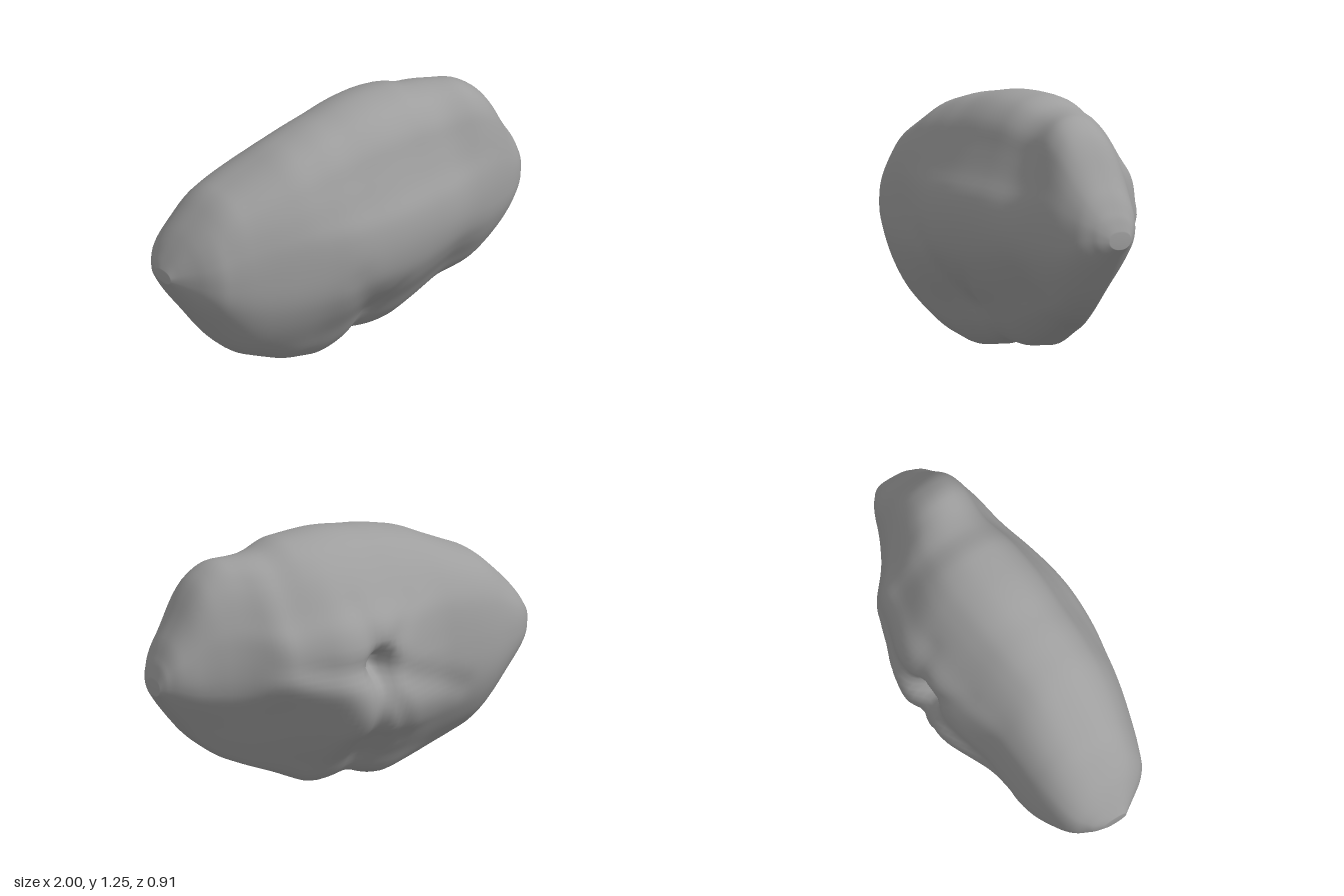
import * as THREE from 'three';

// Stations along the boulder: x, top y, bottom y, back z, front z
const STATIONS = [
  [-1, .67, .61, -.05, .07], [-.97, .72, .56, -.14, .11], [-.92, .8, .48, -.19, .18],
  [-.86, .87, .4, -.225, .26], [-.74, .99, .23, -.265, .31], [-.66, 1.025, .155, -.28, .335],
  [-.52, 1.09, .095, -.295, .375], [-.4, 1.15, .045, -.31, .405], [-.2, 1.205, 0, -.4, .45],
  [-.1, 1.22, .015, -.435, .46], [0, 1.24, .06, -.45, .46], [.1, 1.25, .045, -.46, .455],
  [.22, 1.25, .04, -.465, .44], [.34, 1.245, .095, -.425, .415], [.4, 1.212, .125, -.41, .4],
  [.5, 1.2, .165, -.39, .37], [.58, 1.195, .195, -.29, .35], [.66, 1.19, .23, -.215, .335],
  [.78, 1.1, .325, -.15, .3], [.84, .98, .395, -.13, .275], [.9, .88, .47, -.11, .24],
  [.96, .8, .55, -.07, .2], [1, .68, .6, -.02, .1],
];
// Cross-section outline, from the crest over the front, underside and back
const PROFILE = [
  [.08, 1], [.4, .95], [.62, .8], [.73, .62], [.84, .42], [.95, .25], [1, .02], [.96, -.2],
  [.83, -.4], [.62, -.63], [.43, -.85], [.22, -.98], [0, -1], [-.15, -1], [-.3, -.94], [-.48, -.76],
  [-.7, -.58], [-.87, -.45], [-.98, -.28], [-1, -.05], [-.94, .15], [-.89, .28], [-.82, .42],
  [-.67, .57], [-.52, .72], [-.4, .82], [-.2, .94],
];
// Folds: x1, y1, x2, y2, width, depth
const BACK_FOLDS = [
  [.01, .68, .01, .68, .1, .035], [.01, .68, .02, .07, .055, .05], [.01, .68, .5, .74, .06, .03],
  [.01, .68, -.5, .45, .06, .035], [.01, .68, -.18, .25, .045, .025], [.01, .68, .1, .98, .05, .02],
  [.01, .68, -.2, .92, .05, .015],
];
const FRONT_FOLDS = [
  [.01, .04, .02, .2, .05, .03], [.02, .2, -.16, .52, .07, .02], [.03, .24, .12, .38, .04, .015],
];

const { lerp, clamp, smoothstep } = THREE.MathUtils;

// Linear lookup of a station
function stationAt(x) {
  const i = Math.max(1, STATIONS.findIndex((s) => s[0] >= x - 1e-9));
  const a = STATIONS[i - 1], b = STATIONS[i];
  const t = (x - a[0]) / (b[0] - a[0]);
  return a.map((v, k) => lerp(v, b[k], t));
}

// Station averaged with its surroundings, so the skin has no bands
function softStation(x) {
  const r = Math.min(.04, 1 - Math.abs(x));
  const near = [-1, -.5, 0, .5, 1].map((o) => stationAt(clamp(x + o * r, -1, 1)));
  return near[0].map((_, k) => near.reduce((sum, s) => sum + s[k] / near.length, 0));
}

// Total inward depth of the folds at a point
function foldDepth(folds, x, y) {
  let sum = 0;
  for (const [x1, y1, x2, y2, w, depth] of folds) {
    const dx = x2 - x1, dy = y2 - y1, len = dx * dx + dy * dy;
    const t = len ? clamp(((x - x1) * dx + (y - y1) * dy) / len, 0, 1) : 0;
    const d = Math.hypot(x - x1 - t * dx, y - y1 - t * dy);
    sum += depth * (1 - .6 * t) * Math.exp(-d * d / (w * w));
  }
  return sum;
}

// Maximum of two values with a rounded transition
const softMax = (a, b, r) => (a + b + Math.sqrt((a - b) ** 2 + r * r)) / 2;

function boulderGeometry(rings = 100, sides = 108) {
  const outline = new THREE.CatmullRomCurve3(
    PROFILE.map(([z, v]) => new THREE.Vector3(0, v, z)), true).getSpacedPoints(sides);
  const pos = [], index = [];
  for (let i = 0; i <= rings; i++) {
    // Rings gather toward both tips
    const x = clamp(-Math.cos(Math.PI * (.02 + .96 * i / rings)) / Math.cos(Math.PI * .02), -1, 1);
    const [, top, bottom, back, front] = softStation(x);
    const zc = (front + back) / 2, zr = (front - back) / 2;
    const mid = lerp(.63, (top + bottom) / 2, smoothstep(Math.abs(x), .85, 1));
    const round = .8 * Math.max(smoothstep(-x, .05, .65), smoothstep(x, .45, .9));
    for (let j = 0; j < sides; j++) {
      const p = outline[j], a = Math.atan2(p.y, p.z);
      const se = (c) => Math.sign(c) * Math.pow(Math.abs(c), .8);
      const u = lerp(p.z, se(Math.cos(a)), round), v = lerp(p.y, se(Math.sin(a)), round);
      const y = mid + v * (v > 0 ? top - mid : mid - bottom);
      let z = zc + u * zr;
      // Flat cleft face on the lower back, toward the left end
      if (u < .3) {
        const face = Math.min(-.46 + .57 * (x - .25) - .6 * (y - .6), zc + .25 * zr);
        const cut = Math.max(0, softMax(z, face, .04) - z - .002);
        z += cut * smoothstep(x, 0, .25) * smoothstep(-u, -.3, 0);
      }
      // Folds and faint weathering on both broad sides
      const fade = 1 - smoothstep(Math.abs(x), .75, 1);
      const wave = .006 * Math.sin(7 * x + 5 * y) * Math.sin(9 * y - 4 * x + 1);
      const fold = foldDepth(u < 0 ? BACK_FOLDS : FRONT_FOLDS, x, y);
      z -= Math.sign(u) * smoothstep(Math.abs(u), 0, .5) * (fold + wave) * fade;
      pos.push(x, y, z);
    }
  }
  for (let i = 0; i < rings; i++) {
    for (let j = 0; j < sides; j++) {
      const k = (j + 1) % sides, a = i * sides, b = a + sides;
      index.push(a + j, a + k, b + j, a + k, b + k, b + j);
    }
  }
  // Close the two tips
  const last = rings * sides, tip = pos.length / 3;
  pos.push(-1, .64, .01, 1, .64, .04);
  for (let j = 0; j < sides; j++) {
    const k = (j + 1) % sides;
    index.push(tip, k, j, tip + 1, last + j, last + k);
  }
  const geo = new THREE.BufferGeometry();
  geo.setAttribute('position', new THREE.Float32BufferAttribute(pos, 3));
  geo.setIndex(index);
  geo.computeVertexNormals();
  return geo;
}

export function createModel() {
  const group = new THREE.Group();
  group.name = 'rock';
  const stone = new THREE.MeshStandardMaterial({ color: 0x9e9e9e });
  stone.name = 'grey stone';
  const boulder = new THREE.Mesh(boulderGeometry(), stone);
  boulder.name = 'boulder';
  group.add(boulder);
  return group;
}
